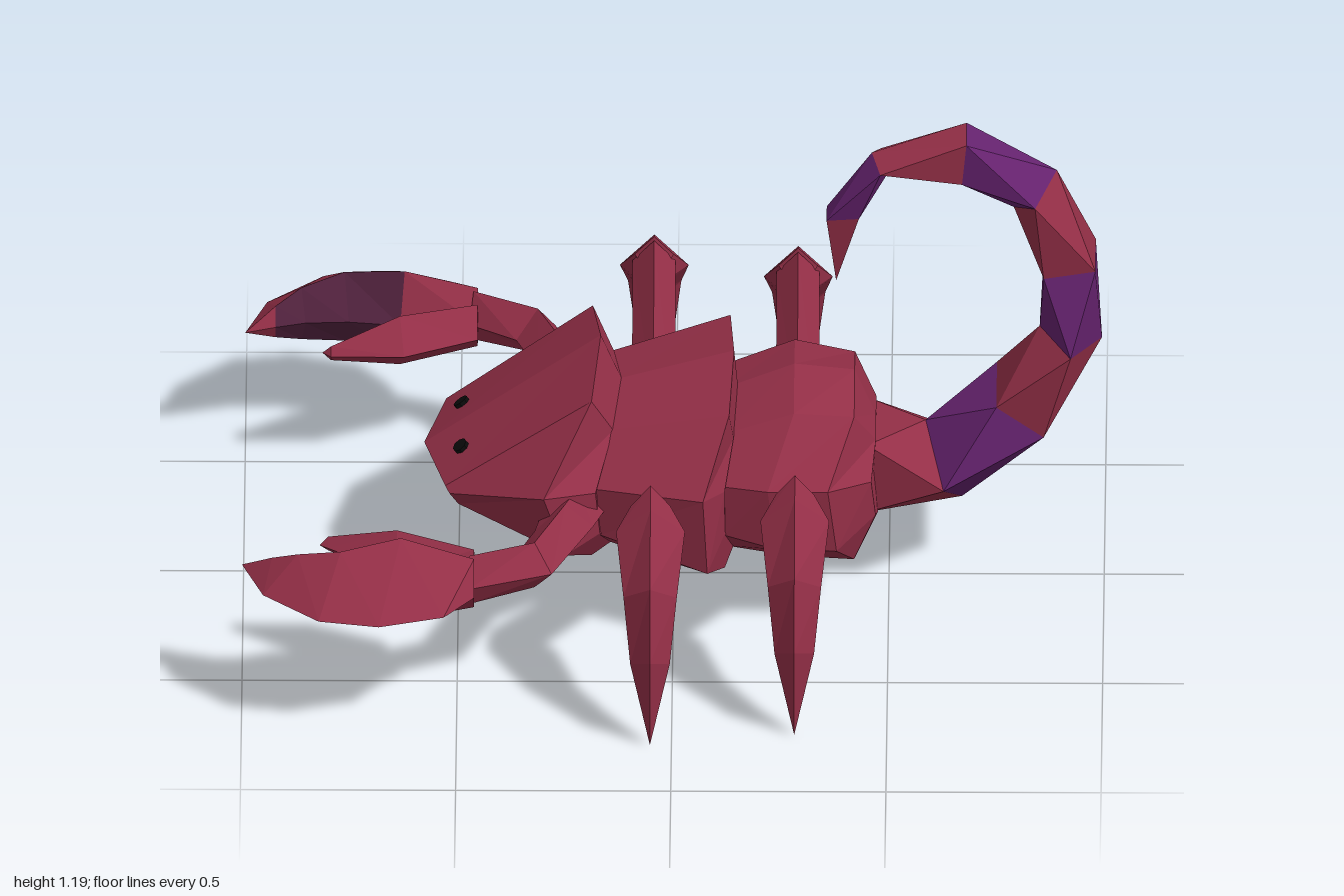
import * as THREE from 'three';

const mat = (name, color) => {
  const m = new THREE.MeshStandardMaterial({ color, flatShading: true });
  m.name = name;
  return m;
};

// Closed faceted skin through rings of [x, y, z] points; a ring of one repeated point makes a tip.
// Where isAccent(span, column) holds, the face uses the second material.
function loft(name, rings, mats, isAccent = () => false) {
  const n = rings[0].length;
  const tris = [[], []];
  rings.slice(1).forEach((b, k) => {
    const a = rings[k];
    for (let j = 0; j < n; j++) {
      const i = (j + 1) % n;
      tris[isAccent(k, j) ? 1 : 0].push([a[j], a[i], b[j]], [a[i], b[i], b[j]]);
    }
  });
  const cap = (r, flip) => {
    const c = [0, 1, 2].map((d) => r.reduce((s, p) => s + p[d], 0) / n);
    r.forEach((p, j) => {
      const q = r[(j + 1) % n];
      tris[0].push(flip ? [c, p, q] : [c, q, p]);
    });
  };
  cap(rings[0], false);
  cap(rings[rings.length - 1], true);

  // Signed volume tells whether the faces point outward
  const V = (p) => new THREE.Vector3(...p);
  const all = [...tris[0], ...tris[1]];
  const volume = all.reduce((s, [p, q, r]) => s + V(p).dot(V(q).cross(V(r))), 0);
  const pos = all.flatMap(([p, q, r]) => (volume < 0 ? [p, r, q] : [p, q, r])).flat();
  const g = new THREE.BufferGeometry();
  g.setAttribute('position', new THREE.Float32BufferAttribute(pos, 3));
  g.computeVertexNormals();
  const count = tris[0].length * 3;
  if (tris[1].length) {
    g.addGroup(0, count, 0);
    g.addGroup(count, tris[1].length * 3, 1);
  }
  const mesh = new THREE.Mesh(g, tris[1].length ? mats : mats[0]);
  mesh.name = name;
  return mesh;
}

// Full ring from a half profile running from top centre to bottom centre
const mirrorRing = (half) => [
  ...half,
  ...half.slice(1, -1).reverse().map(([x, y, z]) => [x, y, -z]),
];

export function createModel() {
  const red = mat('shellRed', 0x942f47);
  const purple = mat('tailPurple', 0x65226e);
  const plum = mat('innerPlum', 0x53233f);
  const black = mat('eyeBlack', 0x0a0a0a);
  const model = new THREE.Group();
  model.name = 'scorpion';

  // Three overlapping body shells
  const shells = {
    head: [
      [[-0.58, 0.36, 0], [-0.53, 0.36, 0.2], [-0.52, 0.345, 0.21], [-0.5, 0.3, 0.18], [-0.48, 0.28, 0.1], [-0.47, 0.275, 0]],
      [[-0.17, 0.65, 0], [-0.19, 0.6, 0.22], [-0.3, 0.42, 0.365], [-0.25, 0.25, 0.33], [-0.19, 0.18, 0.21], [-0.16, 0.15, 0]],
      [[-0.12, 0.53, 0], [-0.14, 0.5, 0.18], [-0.18, 0.4, 0.3], [-0.17, 0.28, 0.28], [-0.12, 0.22, 0.18], [-0.1, 0.2, 0]],
    ],
    middleShell: [
      [[-0.14, 0.53, 0], [-0.15, 0.5, 0.18], [-0.19, 0.4, 0.28], [-0.17, 0.27, 0.27], [-0.15, 0.2, 0.18], [-0.14, 0.18, 0]],
      [[0.14, 0.61, 0], [0.13, 0.57, 0.23], [0.07, 0.42, 0.375], [0.08, 0.225, 0.37], [0.12, 0.16, 0.23], [0.14, 0.135, 0]],
      [[0.15, 0.5, 0], [0.14, 0.48, 0.18], [0.12, 0.4, 0.29], [0.12, 0.28, 0.28], [0.15, 0.22, 0.18], [0.16, 0.2, 0]],
    ],
    rearShell: [
      [[0.12, 0.51, 0], [0.12, 0.48, 0.16], [0.12, 0.4, 0.27], [0.12, 0.27, 0.27], [0.12, 0.19, 0.18], [0.12, 0.17, 0]],
      [[0.28, 0.575, 0], [0.28, 0.54, 0.17], [0.22, 0.41, 0.31], [0.24, 0.25, 0.3], [0.27, 0.175, 0.2], [0.28, 0.155, 0]],
      [[0.42, 0.56, 0], [0.42, 0.52, 0.15], [0.36, 0.41, 0.31], [0.38, 0.24, 0.29], [0.42, 0.16, 0.19], [0.43, 0.135, 0]],
      [[0.47, 0.44, 0], [0.47, 0.43, 0.1], [0.46, 0.38, 0.21], [0.47, 0.28, 0.19], [0.475, 0.235, 0.1], [0.48, 0.22, 0]],
    ],
  };
  for (const [name, halves] of Object.entries(shells)) {
    model.add(loft(name, halves.map(mirrorRing), [red]));
  }

  // Tail: four-sided joints, square and diamond in turn, as [outer xy, inner xy, half width]
  const joints = [
    [0.45, 0.24, 0.45, 0.42, 0.11],
    [0.67, 0.22, 0.585, 0.425, 0.155],
    [0.86, 0.44, 0.75, 0.52, 0.105],
    [0.995, 0.65, 0.85, 0.68, 0.128],
    [0.98, 0.87, 0.86, 0.85, 0.075],
    [0.89, 1.1, 0.79, 1.0, 0.095],
    [0.68, 1.195, 0.67, 1.09, 0.053],
    [0.46, 1.145, 0.5, 1.095, 0.062],
    [0.355, 0.98, 0.43, 0.985, 0.033],
    [0.377, 0.8, 0.377, 0.8, 0],
  ];
  const tailRings = joints.map(([ox, oy, ix, iy, w], k) => {
    const reach = k % 2 ? 1 : Math.SQRT1_2;
    return Array.from({ length: 4 }, (_, j) => {
      const a = (j * 2 + k + 1) * Math.PI / 4;
      const t = 0.5 + Math.cos(a) / reach / 2;
      return [ix + (ox - ix) * t, iy + (oy - iy) * t, Math.sin(a) / reach * w];
    });
  });
  const tail = new THREE.Group();
  tail.name = 'tail';
  for (let k = 0; k < 9; k++) {
    const name = k === 8 ? 'stinger' : 'tailSegment' + (k + 1);
    tail.add(loft(name, [tailRings[k], tailRings[k + 1]], [k % 2 ? purple : red]));
  }
  model.add(tail);

  for (const s of [1, -1]) {
    const side = s > 0 ? 'left' : 'right';

    // Legs: [ridge z, y, side z, y, half width, inner z, y]
    const legRing = (x, dz) => ([oz, oy, mz, my, w, iz, iy]) => [
      [x, oy, s * (oz + dz)], [x + w, my, s * (mz + dz)],
      [x, iy, s * (iz + dz)], [x - w, my, s * (mz + dz)],
    ];
    [[-0.05, 0], [0.285, -0.05]].forEach(([x, dz], i) => {
      const leg = new THREE.Group();
      leg.name = side + (i ? 'RearLeg' : 'FrontLeg');
      const upper = [
        [0.24, 0.33, 0.26, 0.27, 0.05, 0.28, 0.21],
        [0.56, 0.575, 0.58, 0.51, 0.05, 0.6, 0.44],
      ];
      const lower = [
        [0.57, 0.58, 0.575, 0.53, 0.045, 0.54, 0.46],
        [0.63, 0.55, 0.61, 0.48, 0.08, 0.58, 0.42],
        [0.775, 0.42, 0.725, 0.37, 0.062, 0.665, 0.34],
        [0.825, 0.25, 0.775, 0.22, 0.046, 0.73, 0.21],
        [0.79, 0.01, 0.79, 0.01, 0, 0.79, 0.01],
      ];
      leg.add(loft('upperLeg', upper.map(legRing(x, dz)), [red, plum], (k, j) => j === 1 || j === 2));
      leg.add(loft('lowerLeg', lower.map(legRing(x, dz)), [red]));
      model.add(leg);
    });

    // Pincers: [outer x, z, ridge x, z, half height, inner x, z]
    const Y = 0.34;
    const clawRing = ([ox, oz, tx, tz, h, ix, iz]) => [
      [ox, Y, s * oz], [tx, Y + h, s * tz], [ix, Y, s * iz], [tx, Y - h * 0.85, s * tz],
    ];
    const arm = [
      [-0.16, 0.28, -0.22, 0.27, 0.06, -0.3, 0.26],
      [-0.185, 0.35, -0.25, 0.36, 0.065, -0.32, 0.37],
      [-0.28, 0.57, -0.32, 0.535, 0.065, -0.37, 0.5],
      [-0.47, 0.64, -0.47, 0.605, 0.07, -0.48, 0.57],
    ];
    const bigFinger = [
      [-0.46, 0.68, -0.46, 0.62, 0.07, -0.46, 0.57],
      [-0.53, 0.77, -0.63, 0.61, 0.12, -0.64, 0.565],
      [-0.68, 0.815, -0.77, 0.64, 0.1, -0.76, 0.58],
      [-0.82, 0.79, -0.87, 0.61, 0.075, -0.86, 0.575],
      [-0.95, 0.67, -0.93, 0.575, 0.045, -0.93, 0.555],
      [-1, 0.53, -1, 0.53, 0, -1, 0.53],
    ];
    const smallFinger = [
      [-0.46, 0.59, -0.46, 0.56, 0.06, -0.46, 0.5],
      [-0.64, 0.57, -0.64, 0.49, 0.07, -0.63, 0.42],
      [-0.8, 0.455, -0.8, 0.435, 0.02, -0.8, 0.42],
      [-0.82, 0.44, -0.82, 0.44, 0, -0.82, 0.44],
    ];
    const pincer = new THREE.Group();
    pincer.name = side + 'Pincer';
    const gripping = (k, j) => k > 0 && k < 4 && (j === 1 || j === 2);
    pincer.add(
      loft('arm', arm.map(clawRing), [red]),
      loft('bigFinger', bigFinger.map(clawRing), [red, plum], gripping),
      loft('smallFinger', smallFinger.map(clawRing), [red]),
    );
    model.add(pincer);

    // Eye disc lying on the head slope
    const eye = new THREE.Mesh(new THREE.CylinderGeometry(0.019, 0.019, 0.016, 8), black);
    const normal = new THREE.Vector3(-0.59, 0.8, s * 0.15).normalize();
    eye.quaternion.setFromUnitVectors(new THREE.Vector3(0, 1, 0), normal);
    eye.position.set(-0.493, 0.406, s * 0.1);
    eye.name = side + 'Eye';
    model.add(eye);
  }
  return model;
}
